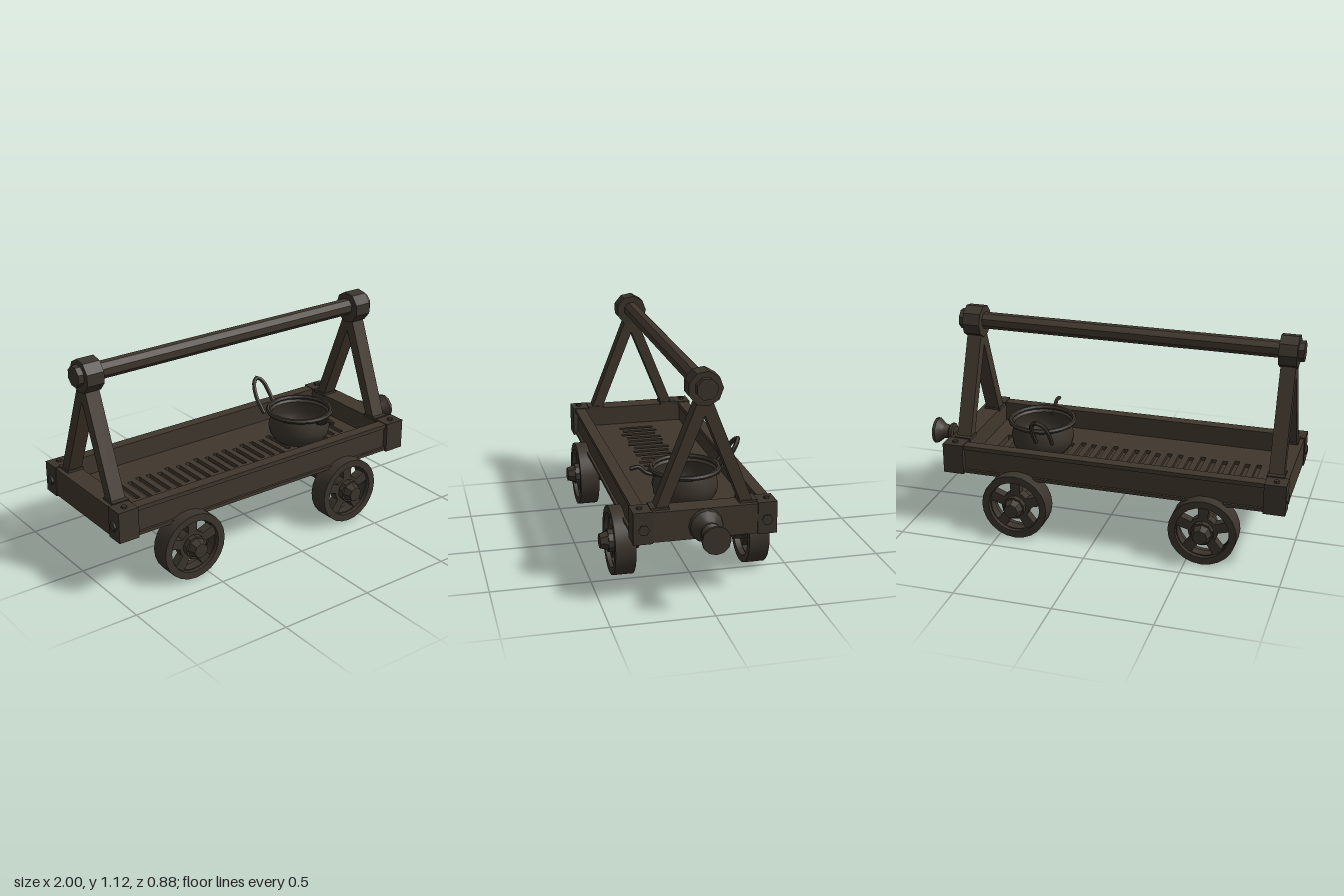
import * as THREE from 'three';
import { toCreasedNormals } from 'three/addons/utils/BufferGeometryUtils.js';

export function createModel() {
  const model = new THREE.Group();
  model.name = 'handCart';
  const wood = new THREE.MeshStandardMaterial({ color: 0x40372d });
  wood.name = 'dark wood';
  const iron = new THREE.MeshStandardMaterial({ color: 0x3b342c });
  iron.name = 'dark iron';
  const potIron = new THREE.MeshStandardMaterial({ color: 0x3b342c, side: THREE.DoubleSide });
  potIron.name = 'pot iron';

  const add = (name, geo, mat, x = 0, y = 0, z = 0, parent = model) => {
    const m = new THREE.Mesh(toCreasedNormals(geo, 0.6), mat);
    m.name = name;
    m.position.set(x, y, z);
    parent.add(m);
    return m;
  };
  // box given by its limits
  const block = (name, mat, x0, x1, y0, y1, z0, z1) =>
    add(name, new THREE.BoxGeometry(x1 - x0, y1 - y0, z1 - z0), mat,
      (x0 + x1) / 2, (y0 + y1) / 2, (z0 + z1) / 2);
  // cylinders along x or z
  const cylX = (name, mat, x0, x1, y, r, sides) =>
    add(name, new THREE.CylinderGeometry(r, r, x1 - x0, sides).rotateY(Math.PI / sides)
      .rotateZ(Math.PI / 2), mat, (x0 + x1) / 2, y, 0);
  const cylZ = (name, mat, z0, z1, r0, r1, sides, parent) =>
    add(name, new THREE.CylinderGeometry(r1, r0, z1 - z0, sides).rotateX(Math.PI / 2),
      mat, 0, 0, (z0 + z1) / 2, parent);
  const rectPath = (P, x0, x1, y0, y1) => {
    const p = new P();
    p.moveTo(x0, y0); p.lineTo(x1, y0); p.lineTo(x1, y1); p.lineTo(x0, y1); p.closePath();
    return p;
  };
  const extrude = (shape, depth, curveSegments = 6) =>
    new THREE.ExtrudeGeometry(shape, { depth, bevelEnabled: false, curveSegments });

  // slotted floor of the tray
  const floor = rectPath(THREE.Shape, -0.92, 0.74, -0.31, 0.31);
  for (let i = 0; i < 24; i++) {
    const x = -0.79 + i * 0.06, wobble = 0.012 * Math.sin(i * 2.3);
    floor.holes.push(rectPath(THREE.Path, x, x + 0.026, -0.095 + wobble, 0.1 + wobble));
  }
  add('slottedFloor', extrude(floor, 0.045).rotateX(-Math.PI / 2), wood, 0, 0.32, 0);
  block('floorBacking', wood, -0.82, 0.3, 0.338, 0.346, -0.12, 0.12);

  // side rails, end beams and corner blocks
  for (const s of [-1, 1]) {
    const z = [0.285 * s, 0.325 * s].sort((a, b) => a - b);
    block('sideRail', wood, -0.9, 0.72, 0.325, 0.455, ...z);
    const lip = [0.28 * s, 0.338 * s].sort((a, b) => a - b);
    block('railLip', wood, -0.9, 0.72, 0.45, 0.472, ...lip);
    block('railFoot', wood, -0.9, 0.72, 0.32, 0.337, ...lip);
    for (const x of [-0.93, 0.755]) {
      const c = [0.255 * s, 0.35 * s].sort((a, b) => a - b);
      block('cornerBlock', iron, x - 0.055, x + 0.055, 0.316, 0.476, ...c);
      add('cornerBolt', new THREE.CylinderGeometry(0.014, 0.016, 0.012, 6), iron, x, 0.48, 0.31 * s);
      add('endBolt', new THREE.CylinderGeometry(0.024, 0.028, 0.014, 6).rotateZ(Math.PI / 2), iron,
        x + (x > 0 ? 0.058 : -0.058), 0.39, 0.3 * s);
    }
  }
  block('rearEndBeam', wood, -0.98, -0.875, 0.32, 0.47, -0.3, 0.3);
  block('frontEndBeam', wood, 0.7, 0.805, 0.32, 0.47, -0.3, 0.3);

  // A-frames carrying the top beam
  const legA = new THREE.Shape();
  legA.moveTo(-0.245, 0.455); legA.lineTo(-0.185, 0.455); legA.lineTo(0, 0.915);
  legA.lineTo(0.185, 0.455); legA.lineTo(0.245, 0.455); legA.lineTo(0.035, 0.985);
  legA.lineTo(-0.035, 0.985); legA.closePath();
  for (const x of [-0.915, 0.737]) {
    add('aFrame', extrude(legA, 0.076).rotateY(Math.PI / 2), wood, x - 0.038, 0, 0);
    cylX('beamKnuckle', iron, x - 0.046, x + 0.046, 1.045, 0.085, 9);
    for (const s of [-1, 1]) block('legFoot', iron, x - 0.044, x + 0.044, 0.465, 0.482, 0.215 * s - 0.045, 0.215 * s + 0.045);
  }
  cylX('topBeam', wood, -0.98, 0.8, 1.05, 0.044, 8);
  cylX('beamCap', iron, -0.99, -0.96, 1.05, 0.053, 8);
  cylX('beamCap', iron, 0.78, 0.815, 1.05, 0.053, 8);

  // wheel sets: rim, five spokes, hub, axle
  const rim = new THREE.Shape().absarc(0, 0, 0.175, 0, Math.PI * 2);
  rim.holes.push(new THREE.Path().absarc(0, 0, 0.138, 0, Math.PI * 2, true));
  const spokes = new THREE.Shape().absarc(0, 0, 0.145, 0, Math.PI * 2);
  for (let i = 0; i < 5; i++) {
    const a = (-90 + i * 72) * Math.PI / 180, h = new THREE.Path();
    h.absarc(0, 0, 0.132, a - 0.42, a + 0.42, false);
    h.absarc(0, 0, 0.075, a + 0.3, a - 0.3, true);
    h.closePath();
    spokes.holes.push(h);
  }
  for (const x of [-0.583, 0.41]) {
    for (const s of [-1, 1]) {
      const wheel = new THREE.Group();
      wheel.name = 'wheel';
      wheel.position.set(x, 0.183, 0);
      if (s < 0) wheel.rotation.y = Math.PI;
      model.add(wheel);
      add('wheelRim', extrude(rim, 0.103, 12), iron, 0, 0, 0.287, wheel);
      add('wheelSpokes', extrude(spokes, 0.05, 12), iron, 0, 0, 0.318, wheel);
      cylZ('hub', iron, 0.245, 0.4, 0.052, 0.06, 10, wheel);
      cylZ('hubCap', iron, 0.4, 0.44, 0.052, 0.038, 8, wheel);
    }
    add('axle', new THREE.CylinderGeometry(0.032, 0.032, 0.52, 8).rotateX(Math.PI / 2), iron, x, 0.185, 0);
  }

  // buffer on the end beam
  const profile = [[0, 0.8], [0.085, 0.8], [0.08, 0.825], [0.045, 0.85], [0.032, 0.87], [0.032, 0.89],
    [0.05, 0.895], [0.05, 0.91], [0.036, 0.92], [0.04, 0.95], [0.07, 0.985], [0.07, 1], [0, 1]];
  add('buffer', new THREE.LatheGeometry(profile.map(p => new THREE.Vector2(...p)), 12)
    .rotateZ(-Math.PI / 2), iron, 0, 0.385, 0);

  // brackets and rods below the floor
  for (const z of [-0.115, 0.12]) {
    for (const x of [-0.825, -0.31]) {
      const b = new THREE.Shape();
      b.moveTo(-0.05, 0.325); b.lineTo(-0.035, 0.265); b.lineTo(0.035, 0.265); b.lineTo(0.05, 0.325);
      b.closePath();
      add('underBracket', extrude(b, 0.08), iron, x, 0, z - 0.04);
    }
    block('underRod', iron, 0.05, 0.68, 0.272, 0.288, z - 0.03, z + 0.03);
    for (const x of [0.09, 0.64]) block('rodHanger', iron, x - 0.025, x + 0.025, 0.28, 0.325, z - 0.03, z + 0.03);
  }

  // open pot with rim, loop handle and spike
  const pot = new THREE.Group();
  pot.name = 'pot';
  pot.position.set(0.38, 0, -0.005);
  model.add(pot);
  const wall = [[0.135, 0.365], [0.16, 0.4], [0.167, 0.44], [0.158, 0.485], [0.152, 0.505], [0.175, 0.528]];
  add('potWall', new THREE.LatheGeometry(wall.map(p => new THREE.Vector2(...p)), 20), potIron, 0, 0, 0, pot);
  add('potRim', new THREE.TorusGeometry(0.17, 0.013, 6, 20).rotateX(Math.PI / 2), iron, 0, 0.526, 0, pot);
  const tube = (name, pts, r) => add(name, new THREE.TubeGeometry(
    new THREE.CatmullRomCurve3(pts.map(p => new THREE.Vector3(...p))), 20, r, 6), potIron, 0, 0, 0, pot);
  tube('potHandle', [[-0.11, 0.47, -0.17], [-0.115, 0.55, -0.235], [-0.1, 0.61, -0.275], [-0.07, 0.632, -0.292],
    [-0.04, 0.61, -0.275], [-0.025, 0.55, -0.235], [-0.02, 0.47, -0.17]], 0.012);
  tube('potHook', [[0, 0.5, 0.15], [0, 0.515, 0.2], [0, 0.545, 0.235], [0, 0.54, 0.28]], 0.011);
  return model;
}
